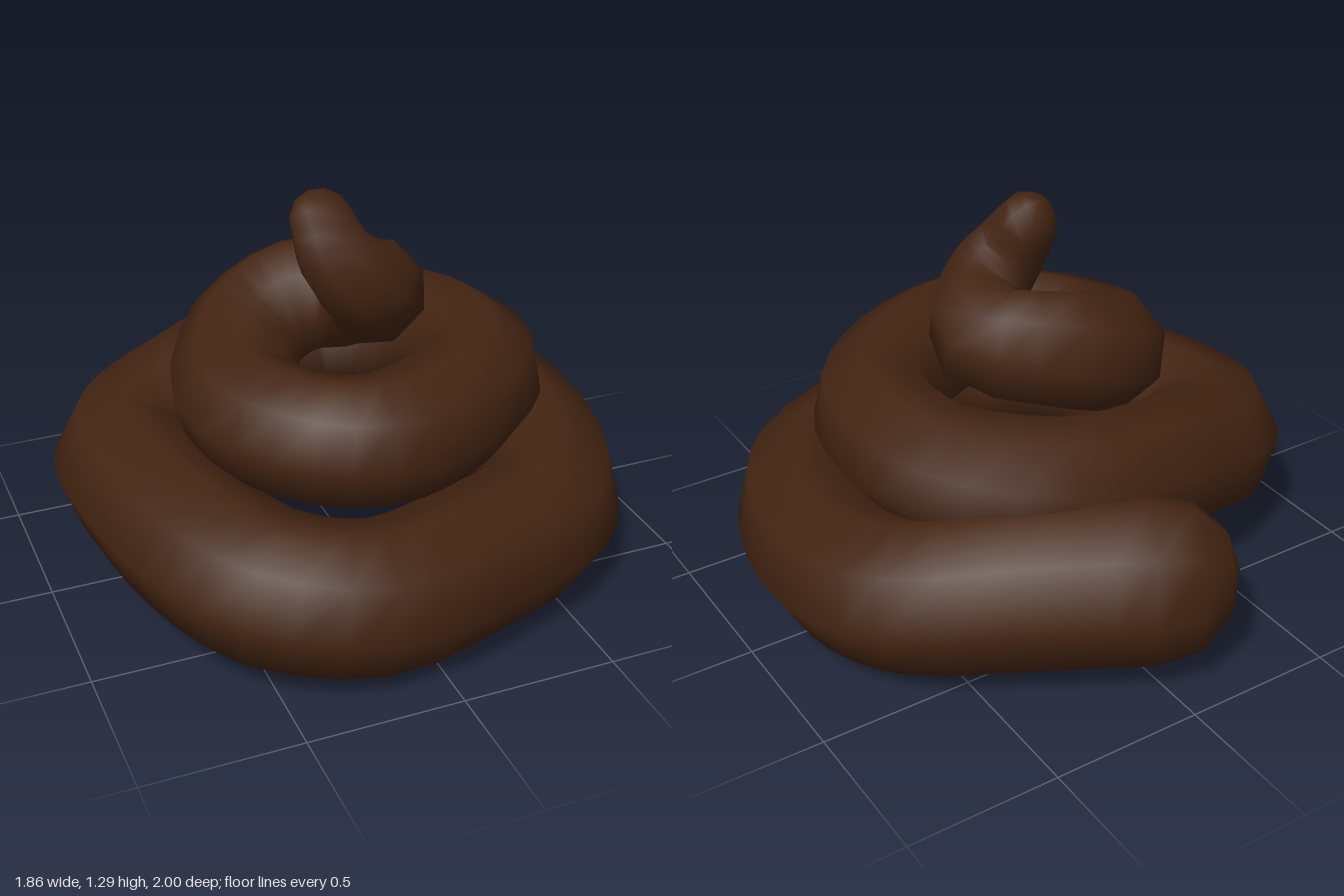
import * as THREE from 'three';

// Centre line of the rope from tail to tip: x, y, z, radius
const PATH = [
  [-0.02, 0.345, -0.73, 0.272], [0.3, 0.33, -0.54, 0.27], [0.6, 0.285, -0.33, 0.25],
  [0.69, 0.255, -0.08, 0.24], [0.645, 0.24, 0.27, 0.235], [0.5, 0.235, 0.51, 0.235],
  [0.18, 0.25, 0.66, 0.235], [-0.19, 0.27, 0.765, 0.235], [-0.47, 0.305, 0.65, 0.24],
  [-0.61, 0.335, 0.4, 0.24], [-0.68, 0.36, 0.08, 0.24], [-0.69, 0.37, -0.12, 0.24],
  [-0.61, 0.385, -0.25, 0.24], [-0.41, 0.44, -0.34, 0.23], [-0.16, 0.5, -0.42, 0.225],
  [0.13, 0.555, -0.43, 0.22], [0.4, 0.595, -0.21, 0.21], [0.45, 0.62, 0.03, 0.207],
  [0.4, 0.625, 0.22, 0.207], [0.18, 0.63, 0.41, 0.207], [-0.07, 0.635, 0.49, 0.205],
  [-0.28, 0.645, 0.39, 0.203], [-0.395, 0.665, 0.13, 0.203], [-0.27, 0.765, -0.11, 0.197],
  [-0.08, 0.845, -0.145, 0.197], [0.115, 0.885, 0, 0.18],
  [0.03, 0.98, 0.135, 0.152], [-0.06, 1.09, 0.135, 0.128], [-0.09, 1.19, 0.085, 0.105],
];
const SIDES = 8;
const STEPS = 3; // rings per path point
const CAP = 3;   // rings in each rounded end

function coilGeometry() {
  const curve = new THREE.CatmullRomCurve3(PATH.map(p => new THREE.Vector3(p[0], p[1], p[2])));
  const count = (PATH.length - 1) * STEPS;
  const positions = [], index = [], poles = [];
  const side = new THREE.Vector3().crossVectors(curve.getTangent(0), new THREE.Vector3(0, 1, 0));

  const addRing = (centre, tangent, radius) => {
    const up = new THREE.Vector3().crossVectors(tangent, side);
    for (let j = 0; j < SIDES; j++) {
      const a = (j / SIDES) * Math.PI * 2;
      const v = centre.clone()
        .addScaledVector(side, Math.cos(a) * radius)
        .addScaledVector(up, Math.sin(a) * radius);
      positions.push(v.x, v.y, v.z);
    }
  };

  // Rounded end: rings shrinking along the tangent
  const addCapRing = (centre, tangent, radius, k, direction) => {
    const a = (k / CAP) * Math.PI / 2;
    const c = centre.clone().addScaledVector(tangent, direction * Math.sin(a) * radius);
    addRing(c, tangent, radius * Math.cos(a));
  };

  for (let i = 0; i <= count; i++) {
    const centre = curve.getPoint(i / count), tangent = curve.getTangent(i / count);
    const s = Math.min(Math.floor(i / STEPS), PATH.length - 2);
    const radius = THREE.MathUtils.lerp(PATH[s][3], PATH[s + 1][3], i / STEPS - s);
    // Carry the side direction along so the rope does not twist
    side.addScaledVector(tangent, -side.dot(tangent)).normalize();

    if (i === 0) {
      poles.push(centre.clone().addScaledVector(tangent, -radius));
      for (let k = CAP - 1; k > 0; k--) addCapRing(centre, tangent, radius, k, -1);
    }
    addRing(centre, tangent, radius);
    if (i === count) {
      for (let k = 1; k < CAP; k++) addCapRing(centre, tangent, radius, k, 1);
      poles.push(centre.clone().addScaledVector(tangent, radius));
    }
  }

  // Skin between the rings
  const tail = positions.length / 3, last = tail - SIDES;
  for (let ring = 0; ring < last; ring += SIDES) {
    for (let j = 0; j < SIDES; j++) {
      const a = ring + j, b = ring + (j + 1) % SIDES;
      index.push(a, b, a + SIDES, b, b + SIDES, a + SIDES);
    }
  }
  // Close both ends at their poles
  poles.forEach(p => positions.push(p.x, p.y, p.z));
  for (let j = 0; j < SIDES; j++) {
    const n = (j + 1) % SIDES;
    index.push(tail, n, j, tail + 1, last + j, last + n);
  }

  const geometry = new THREE.BufferGeometry();
  geometry.setAttribute('position', new THREE.Float32BufferAttribute(positions, 3));
  geometry.setIndex(index);
  geometry.computeVertexNormals();
  return geometry;
}

export function createModel() {
  const group = new THREE.Group();
  group.name = 'coiledPile';
  const coil = new THREE.Mesh(coilGeometry(), new THREE.MeshStandardMaterial({ color: 0x432412 }));
  coil.name = 'spiralCoil';
  group.add(coil);
  return group;
}
